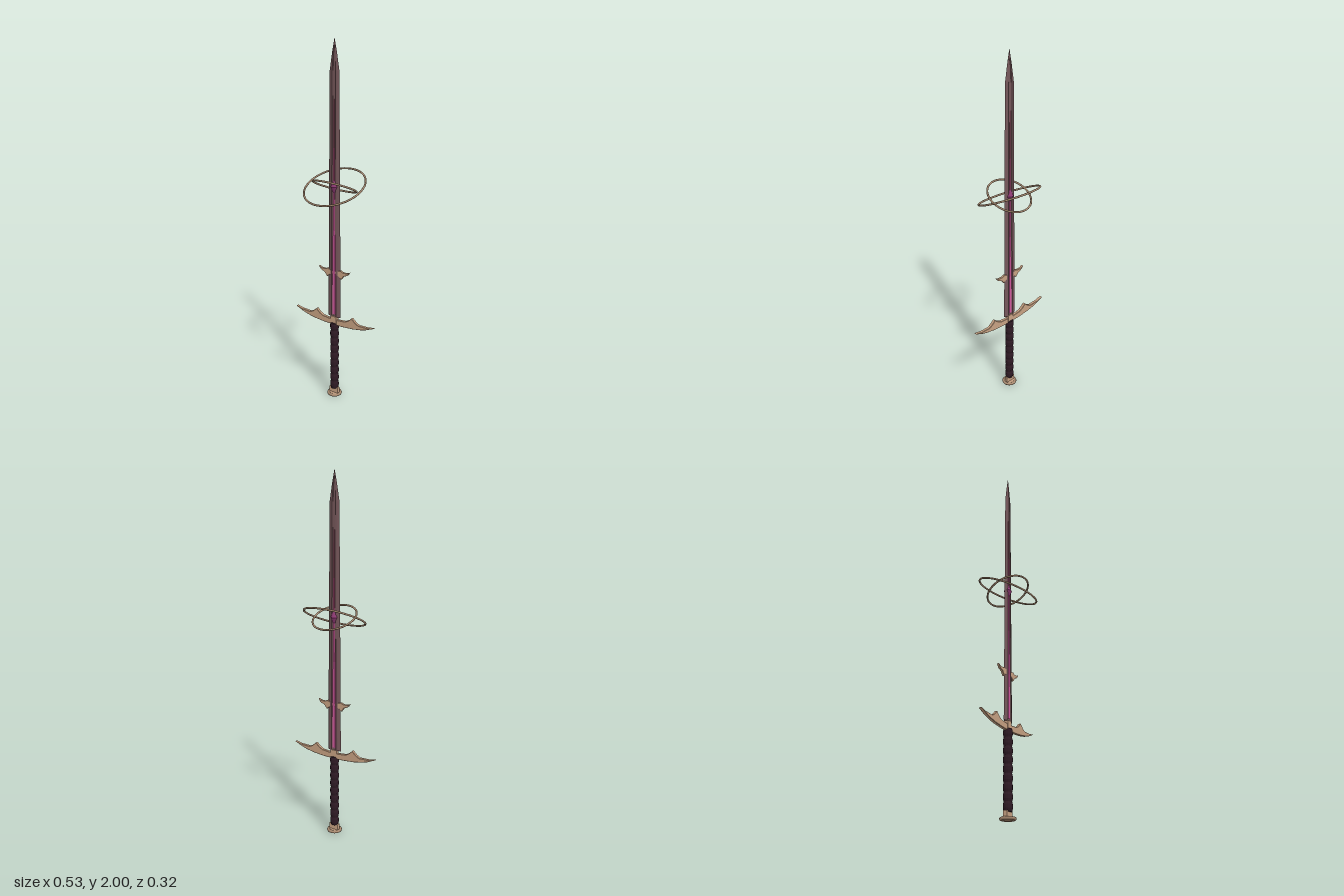
import * as THREE from 'three';

const mat = (color, flatShading = true) => {
  const m = new THREE.MeshStandardMaterial({ flatShading });
  m.color.set(color);
  return m;
};
const gold = mat(0xc8a283), steel = mat(0x75575a), wrap = mat(0x2e1a24), gem = mat(0x8c3a72);
const brass = mat(0xa88a70, false);

function add(group, name, geometry, material, y = 0) {
  const mesh = new THREE.Mesh(geometry, material);
  mesh.name = name;
  mesh.position.y = y;
  group.add(mesh);
  return mesh;
}

// Skin over stations [y, halfWidth, depth]; section holds unit [x, z] points, +x round to +z
function loft(section, stations) {
  const pos = [], idx = [], n = section.length;
  for (const [y, w, d] of stations) for (const [x, z] of section) pos.push(x * w, y, z * d);
  for (let i = 0; i < stations.length - 1; i++) {
    for (let j = 0; j < n; j++) {
      const a = i * n + j, b = i * n + (j + 1) % n;
      idx.push(a, a + n, b, b, a + n, b + n);
    }
  }
  // bottom cap
  const c = pos.length / 3;
  pos.push(0, stations[0][0], 0);
  for (let j = 0; j < n; j++) idx.push(c, j, (j + 1) % n);
  const g = new THREE.BufferGeometry();
  g.setAttribute('position', new THREE.Float32BufferAttribute(pos, 3));
  g.setIndex(idx);
  const flat = g.toNonIndexed();
  flat.computeVertexNormals();
  return flat;
}

// Plate symmetric in x, from the outline of its +x half (bottom centre to top centre)
function wingPlate(half, depth, bevel) {
  const left = half.slice().reverse().map(([x, y]) => [-x, y]);
  const shape = new THREE.Shape([...half, ...left].map(([x, y]) => new THREE.Vector2(x, y)));
  const g = new THREE.ExtrudeGeometry(shape, {
    depth: depth - 2 * bevel, bevelThickness: bevel, bevelSize: bevel, bevelOffset: -bevel, bevelSegments: 1,
  });
  return g.translate(0, 0, bevel - depth / 2);
}

export function createModel() {
  const sword = new THREE.Group();
  sword.name = 'sword';

  // Blade: sharp edges, bevel shoulders and a shallow fuller on both faces
  const quarter = [[1, 0], [0.62, 0.75], [0.36, 1], [0.22, 0.55]];
  const half = [...quarter, ...quarter.slice(1).reverse().map(([x, z]) => [-x, z])];
  const section = [...half, ...half.map(([x, z]) => [-x, -z])];
  add(sword, 'blade', loft(section, [
    [0.495, 0.042, 0.009], [0.8, 0.039, 0.0085], [1.3, 0.035, 0.008],
    [1.84, 0.03, 0.0065], [1.93, 0.015, 0.004], [2, 0.0005, 0.0005],
  ]), steel);

  // Glowing core in the fuller, fading towards the tip
  const core = new THREE.Group();
  core.name = 'core';
  sword.add(core);
  const strip = [[1, 0], [0.7, 1], [-0.7, 1], [-1, 0], [-0.7, -1], [0.7, -1]];
  const shades = [0xd0589c, 0xc05090, 0xa8487c, 0x904264, 0x784452];
  const levels = [0.51, 0.75, 1.0, 1.25, 1.45, 1.7];
  shades.forEach((color, i) => {
    const at = (k) => [levels[k], 0.0125 - k * 0.0014, 0.0078 - k * 0.0004];
    add(core, 'coreSegment', loft(strip, [at(i), at(i + 1)]), mat(color));
  });

  // Faceted gem at the crossing of the rings
  add(sword, 'gem', new THREE.LatheGeometry([
    [0, -0.045], [0.012, -0.025], [0.022, 0], [0.012, 0.025], [0, 0.045],
  ].map(([x, y]) => new THREE.Vector2(x, y)), 10), gem, 1.243);

  // Two rings tilted opposite ways
  for (const [name, radius, tilt] of [['outerRing', 0.168, 0.42], ['innerRing', 0.12, -0.43]]) {
    const ring = new THREE.TorusGeometry(radius, 0.0052, 8, 48).rotateX(Math.PI / 2);
    add(sword, name, ring, brass, 1.243).rotation.x = tilt;
  }

  // Small parrying lugs on the lower blade
  add(sword, 'lugs', wingPlate([
    [0, 0.755], [0.035, 0.738], [0.047, 0.727], [0.065, 0.75], [0.085, 0.757], [0.092, 0.763],
    [0.102, 0.778], [0.085, 0.771], [0.06, 0.77], [0.045, 0.777], [0, 0.765],
  ], 0.013, 0.0015), gold);

  // Crossguard with a raised spike on each arm
  add(sword, 'crossguard', wingPlate([
    [0, 0.446], [0.06, 0.447], [0.13, 0.453], [0.18, 0.462], [0.215, 0.472], [0.265, 0.494],
    [0.225, 0.486], [0.165, 0.484], [0.145, 0.494], [0.12, 0.516], [0.098, 0.496], [0.075, 0.484], [0, 0.477],
  ], 0.018, 0.002), gold);
  add(sword, 'guardBlock', new THREE.BoxGeometry(0.038, 0.048, 0.022), gold, 0.473);

  // Ribbed grip
  const profile = [[0, 0.045], [0.019, 0.045]];
  const ribs = 9, step = 0.41 / ribs;
  for (let i = 0; i < ribs; i++) {
    const y = 0.048 + i * step;
    profile.push([0.021, y], [0.0245, y + step * 0.3], [0.0245, y + step * 0.7], [0.021, y + step * 0.97]);
  }
  profile.push([0, 0.46]);
  add(sword, 'grip', new THREE.LatheGeometry(profile.map(([x, y]) => new THREE.Vector2(x, y)), 12), wrap);

  // Pommel: flat neck on a rimmed disc
  add(sword, 'pommelNeck', new THREE.BoxGeometry(0.056, 0.032, 0.02), gold, 0.034);
  add(sword, 'pommelDisc', new THREE.CylinderGeometry(0.034, 0.034, 0.01, 20), gold, 0.013);
  add(sword, 'pommelRim', new THREE.TorusGeometry(0.034, 0.0085, 8, 24).rotateX(Math.PI / 2), brass, 0.0125);

  return sword;
}
